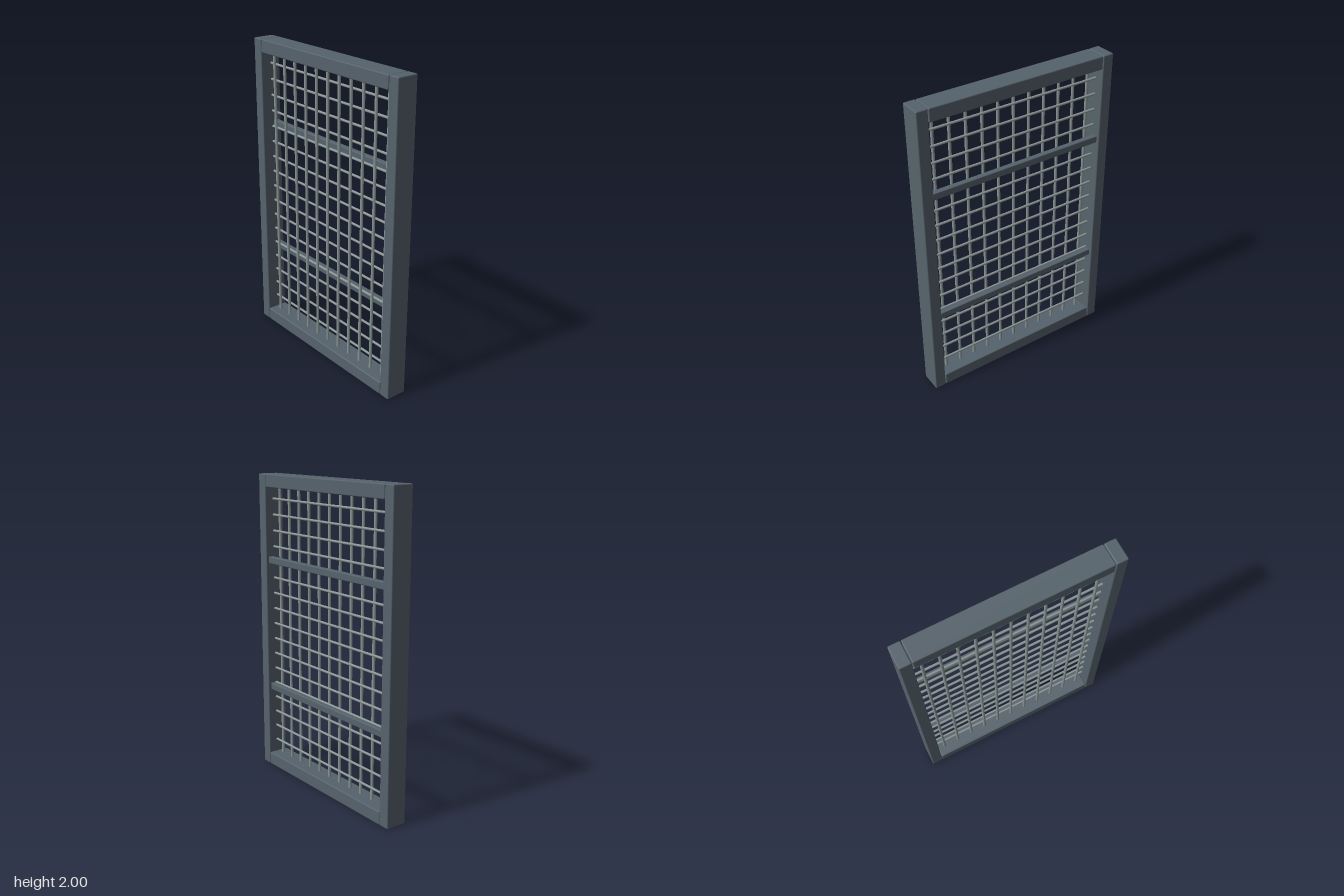
import * as THREE from 'three';
import { RoundedBoxGeometry } from 'three/addons/geometries/RoundedBoxGeometry.js';

const frameMaterial = new THREE.MeshStandardMaterial({ color: 0x56636c });
const wireMaterial = new THREE.MeshStandardMaterial({ color: 0x8a9696 });

export function createModel() {
  const model = new THREE.Group();
  model.name = 'meshPanel';

  function add(parent, name, geometry, material, x, y, z) {
    const mesh = new THREE.Mesh(geometry, material);
    mesh.name = name;
    mesh.position.set(x, y, z);
    parent.add(mesh);
    return mesh;
  }
  const bar = (w, h, d, bevel) => new RoundedBoxGeometry(w, h, d, 2, bevel);

  // Upright stiles, with a fine seam beside the rails
  const stile = bar(0.073, 2, 0.14, 0.007);
  add(model, 'leftStile', stile, frameMaterial, 0.6265, 1, 0);
  add(model, 'rightStile', stile, frameMaterial, -0.6265, 1, 0);

  // Top and bottom rails
  const rail = bar(1.174, 0.085, 0.14, 0.007);
  add(model, 'topRail', rail, frameMaterial, 0, 1.9575, 0);
  add(model, 'bottomRail', rail, frameMaterial, 0, 0.0425, 0);

  // Stiffening bars behind the mesh
  const stiffener = bar(1.19, 0.046, 0.036, 0.006);
  add(model, 'upperStiffener', stiffener, frameMaterial, 0, 1.439, -0.032);
  add(model, 'lowerStiffener', stiffener, frameMaterial, 0, 0.565, -0.032);

  // Wire grid: uprights in front, horizontals just behind
  const grid = new THREE.Group();
  grid.name = 'wireGrid';
  model.add(grid);

  const upright = new THREE.CylinderGeometry(0.0095, 0.0095, 1.84, 10);
  for (let i = -5; i <= 5; i++) {
    add(grid, 'verticalWire', upright, wireMaterial, i * 0.107, 1, 0.007);
  }
  const level = new THREE.CylinderGeometry(0.008, 0.008, 1.19, 10).rotateZ(Math.PI / 2);
  for (let i = -8; i <= 8; i++) {
    add(grid, 'horizontalWire', level, wireMaterial, 0, 1.004 + i * 0.1044, -0.007);
  }

  return model;
}
